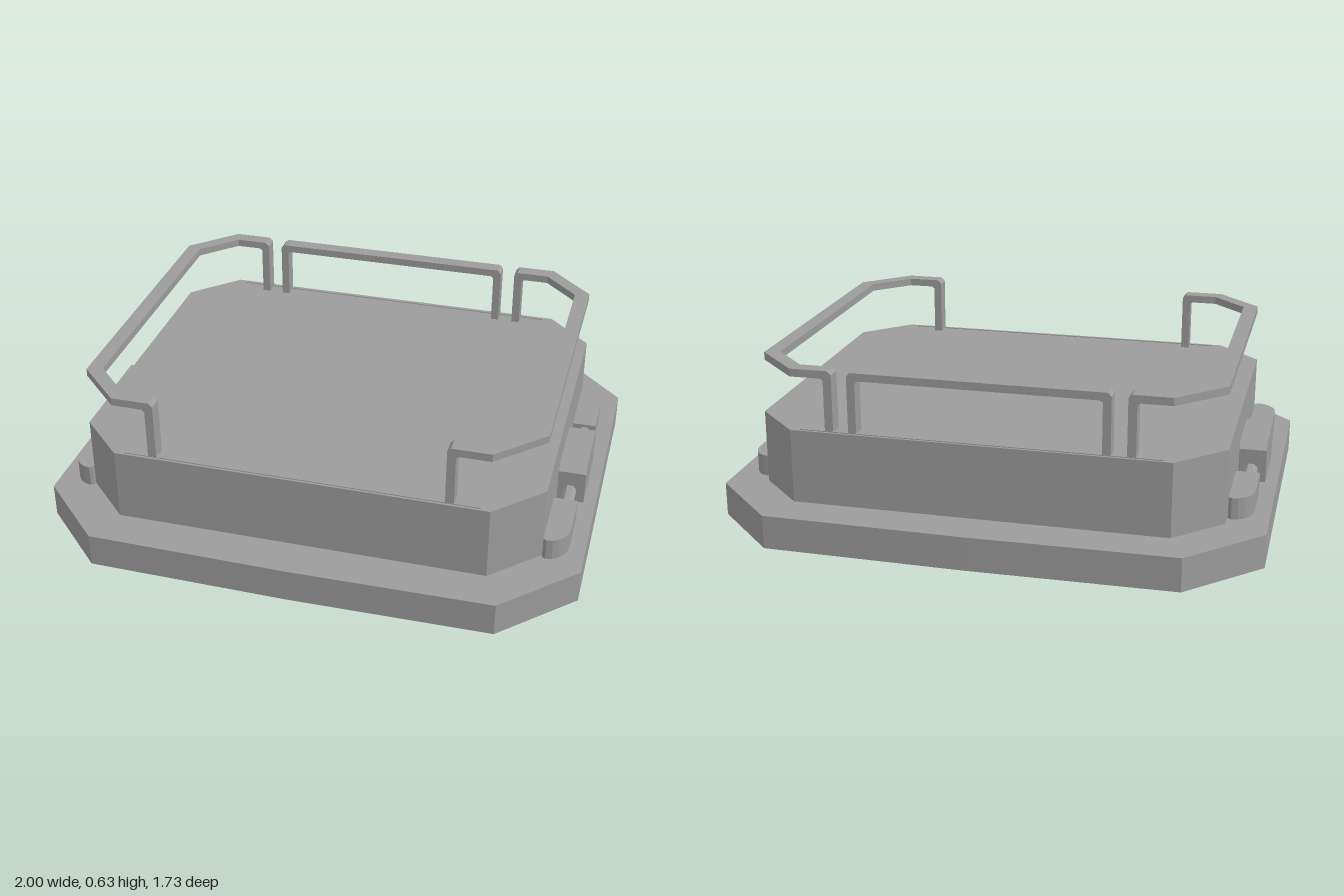
import * as THREE from 'three';

const color = 0x9c9c9c;
const material = new THREE.MeshStandardMaterial({ color, flatShading: true });
const shellMaterial = new THREE.MeshStandardMaterial({ color, flatShading: true, side: THREE.DoubleSide });

function addMesh(group, name, geometry, x = 0, y = 0, z = 0, mat = material) {
  const mesh = new THREE.Mesh(geometry, mat);
  mesh.name = name;
  mesh.position.set(x, y, z);
  group.add(mesh);
}

// Extrude a polygon of [x, y] pairs along +z
function prism(points, depth) {
  const shape = new THREE.Shape(points.map(([x, y]) => new THREE.Vector2(x, y)));
  return new THREE.ExtrudeGeometry(shape, { depth, bevelEnabled: false });
}

// Extrude a plan outline of [x, z] pairs upwards
function planPrism(points, height) {
  return prism(points.map(([x, z]) => [x, -z]), height).rotateX(-Math.PI / 2);
}

// Chamfered rectangle with a slightly bowed front and back, as a ring at height y
function ring(hx, hz, cornerX, cornerZ, bow, y) {
  return [
    [hx, cornerZ], [hx, -cornerZ], [cornerX, -hz], [0, -hz - bow], [-cornerX, -hz],
    [-hx, -cornerZ], [-hx, cornerZ], [-cornerX, hz], [0, hz + bow], [cornerX, hz],
  ].map(([x, z]) => [x, y, z]);
}

// Skin a stack of rings and close the last one
function shell(rings) {
  const positions = [];
  const n = rings[0].length;
  for (let r = 0; r < rings.length - 1; r++) {
    for (let i = 0; i < n; i++) {
      const j = (i + 1) % n;
      const [a, b, c, d] = [rings[r][i], rings[r][j], rings[r + 1][j], rings[r + 1][i]];
      positions.push(...a, ...b, ...c, ...a, ...c, ...d);
    }
  }
  const top = rings[rings.length - 1];
  for (let i = 0; i < n; i++) positions.push(...top[i], ...top[(i + 1) % n], 0, top[0][1], 0);
  const geometry = new THREE.BufferGeometry();
  geometry.setAttribute('position', new THREE.Float32BufferAttribute(positions, 3));
  geometry.computeVertexNormals();
  return geometry;
}

// Skirt, ledge and raised deck: one thin shell, open underneath
function addHull(group) {
  addMesh(group, 'hull', shell([
    ring(1, 0.855, 0.745, 0.6, 0.01, 0),
    ring(1, 0.855, 0.745, 0.6, 0.01, 0.125),
    ring(0.853, 0.705, 0.685, 0.537, 0, 0.125),
    ring(0.853, 0.705, 0.685, 0.537, 0, 0.4),
  ]), 0, 0, 0, shellMaterial);
  for (const s of [1, -1]) {
    addMesh(group, 'deckEdgeStrip', new THREE.BoxGeometry(1.3, 0.008, 0.012), 0, 0.399, s * 0.69);
  }
}

// Flat-bar railing: a back hoop and two wrap-around side rails
function addRailing(group) {
  const railing = new THREE.Group();
  railing.name = 'railing';
  group.add(railing);
  const barWidth = 0.055;

  addMesh(railing, 'backRail', prism([
    [-0.47, 0.4], [-0.44, 0.4], [-0.44, 0.588], [-0.43, 0.597],
    [0.43, 0.597], [0.44, 0.588], [0.44, 0.4], [0.47, 0.4],
    [0.47, 0.612], [0.457, 0.626], [-0.457, 0.626], [-0.47, 0.612],
  ], barWidth), 0, 0, -0.695);

  for (const s of [1, -1]) {
    const rail = [
      [0.6, -0.695], [0.68, -0.695], [0.845, -0.53], [0.845, 0.53], [0.68, 0.695], [0.6, 0.695],
      [0.6, 0.64], [0.662, 0.64], [0.79, 0.51], [0.79, -0.51], [0.662, -0.64], [0.6, -0.64],
    ].map(([x, z]) => [s * x, z]);
    addMesh(railing, 'sideRail', planPrism(rail, 0.029), 0, 0.597, 0);

    // Bent post at each end of the side rail
    const post = [
      [0.526, 0.4], [0.557, 0.4], [0.557, 0.588], [0.567, 0.597], [0.6, 0.597],
      [0.6, 0.626], [0.539, 0.626], [0.526, 0.612],
    ].map(([x, y]) => [s * x, y]);
    for (const z of [-0.695, 0.64]) addMesh(railing, 'railPost', prism(post, barWidth), 0, 0, z);
  }
}

// Row of housings on the side ledge, joined by rods
function addSideFitting(group, s) {
  const fitting = new THREE.Group();
  fitting.name = s > 0 ? 'leftFitting' : 'rightFitting';
  group.add(fitting);

  // Central housing with chamfered top edges; profile drawn in (-z, y)
  const profile = [
    [-0.182, 0.125], [0.118, 0.125], [0.118, 0.25], [0.09, 0.275], [-0.15, 0.275], [-0.182, 0.25],
  ];
  const housing = prism(profile, 0.101).rotateY(Math.PI / 2);
  addMesh(fitting, 'centreHousing', housing, s > 0 ? 0.854 : -0.955);

  // End housings, rounded at their outer corner
  for (const [inner, outer] of [[0.29, 0.555], [-0.23, -0.495]]) {
    const d = Math.sign(outer);
    const points = [[0.855, inner], [0.942, inner]];
    for (let i = 0; i <= 5; i++) {
      const a = (i / 5) * Math.PI / 2;
      points.push([0.867 + 0.075 * Math.cos(a), outer - d * 0.09 * (1 - Math.sin(a))]);
    }
    points.push([0.855, outer - d * 0.008]);
    addMesh(fitting, 'endHousing', planPrism(points.map(([x, z]) => [s * x, z]), 0.08), 0, 0.125, 0);
  }

  // Octagonal rods between the housings
  for (const z of [0.235, -0.175]) {
    const rod = new THREE.CylinderGeometry(0.026, 0.026, 0.13, 8).rotateY(Math.PI / 8).rotateX(Math.PI / 2);
    addMesh(fitting, 'rod', rod, s * 0.9, 0.17, z);
  }
}

export function createModel() {
  const model = new THREE.Group();
  model.name = 'hatchPlatform';
  addHull(model);
  addRailing(model);
  for (const s of [1, -1]) addSideFitting(model, s);
  return model;
}
